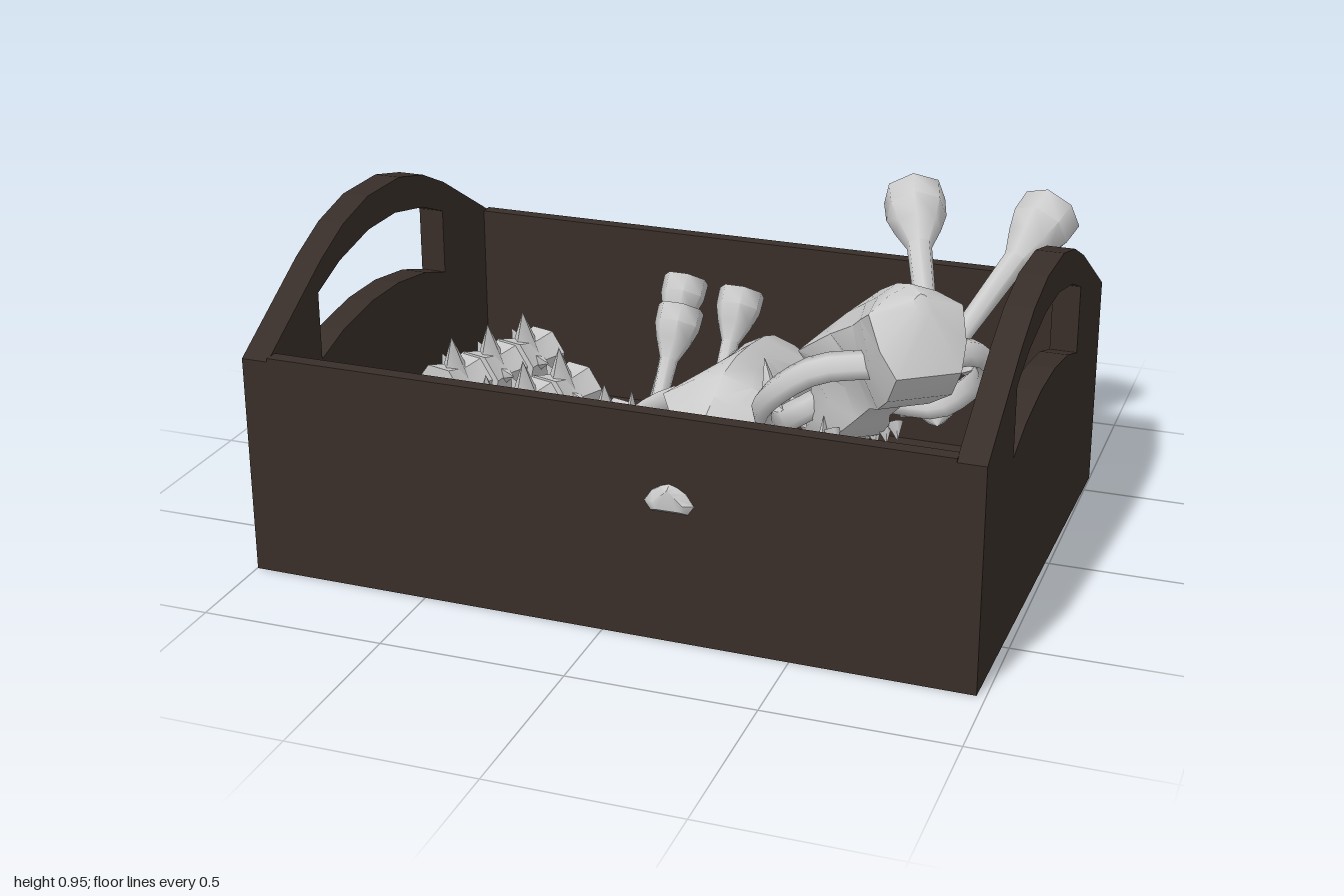
import * as THREE from 'three';
import { toCreasedNormals } from 'three/addons/utils/BufferGeometryUtils.js';

const V = (x, y, z) => new THREE.Vector3(x, y, z);
const bone = new THREE.MeshStandardMaterial({ color: 0xcccccc, side: THREE.DoubleSide });
const wood = new THREE.MeshStandardMaterial({ color: 0x382e29 });

function add(parent, name, geo, mat) {
  const mesh = new THREE.Mesh(geo, mat);
  mesh.name = name;
  parent.add(mesh);
  return mesh;
}

// Crate: floor, two long walls, two arched ends with hand holes
function makeCrate() {
  const crate = new THREE.Group();
  crate.name = 'crate';
  const box = (name, w, h, d, x, y, z) =>
    add(crate, name, new THREE.BoxGeometry(w, h, d), wood).position.set(x, y, z);
  box('floor', 1.96, 0.06, 1.34, 0, 0.03, 0);
  for (const s of [-1, 1]) box(s > 0 ? 'frontWall' : 'backWall', 1.83, 0.615, 0.04, 0, 0.3075, s * 0.655);

  const mirrored = half => [...half, ...half.slice().reverse().map(([x, y]) => [-x, y])];
  const outline = mirrored([[0.675, 0], [0.675, 0.605], [0.37, 0.785], [0.24, 0.845], [0.095, 0.88]]);
  const hole = [
    ...mirrored([[0.375, 0.7], [0.25, 0.75], [0.08, 0.785]]),
    ...mirrored([[0.375, 0.51], [0.25, 0.55], [0.08, 0.575]]).reverse(),
  ].map(([x, y]) => new THREE.Vector2(x - 0.02, y));
  const shape = new THREE.Shape(outline.map(p => new THREE.Vector2(...p)));
  shape.holes.push(new THREE.Path(hole));
  for (const s of [-1, 1]) {
    const geo = new THREE.ExtrudeGeometry(shape, { depth: 0.075, bevelEnabled: false });
    geo.translate(0, 0, -0.0375).rotateY(Math.PI / 2);
    add(crate, s > 0 ? 'leftEnd' : 'rightEnd', geo, wood).position.x = s * 0.9505;
  }
  crate.position.z = 0.07;
  crate.rotation.y = -0.016;
  return crate;
}

// Skull braincase and muzzle, lofted from the back of the head to the nose
// Each section: distance, upper half width, lower half width, top, bottom
const sections = [
  [0, 0.02, 0.02, 0.11, 0.06], [0.05, 0.12, 0.11, 0.15, -0.08], [0.14, 0.11, 0.11, 0.18, -0.11],
  [0.26, 0.09, 0.09, 0.2, -0.1], [0.38, 0.11, 0.06, 0.21, -0.07], [0.49, 0.165, 0.06, 0.2, -0.07],
  [0.56, 0.12, 0.085, 0.165, -0.08], [0.67, 0.09, 0.1, 0.12, -0.08], [0.8, 0.065, 0.08, 0.09, -0.06],
  [0.9, 0.045, 0.065, 0.065, -0.01], [0.915, 0.008, 0.04, 0.055, 0],
];
function skullGeometry() {
  const pos = [], idx = [], n = 9;
  for (const [t, wt, wl, top, bot] of sections) {
    const h = top - bot;
    const half = [[wt * 0.5, top - 0.1 * h], [wt, top - 0.28 * h], [wl, top - 0.68 * h], [wl * 0.75, bot]];
    const ring = [[0, top], ...half, ...half.slice().reverse().map(([x, y]) => [-x, y])];
    for (const [x, y] of ring) pos.push(x, y, t);
  }
  const last = (sections.length - 1) * n;
  for (let j = 0; j < last; j += n) {
    for (let i = 0; i < n; i++) {
      const a = j + i, b = j + (i + 1) % n;
      idx.push(a, a + n, b, b, a + n, b + n);
    }
  }
  for (let i = 1; i < n - 1; i++) idx.push(0, i, i + 1, last, last + i + 1, last + i);
  const geo = new THREE.BufferGeometry();
  geo.setAttribute('position', new THREE.Float32BufferAttribute(pos, 3));
  geo.setIndex(idx);
  return toCreasedNormals(geo, 0.7);
}

function makeSkull(name) {
  const skull = new THREE.Group();
  skull.name = name;
  add(skull, 'cranium', skullGeometry(), bone);
  for (const s of [-1, 1]) {
    // Cheek arch
    const path = new THREE.CatmullRomCurve3([
      V(s * 0.08, 0, 0.2), V(s * 0.2, 0.01, 0.25), V(s * 0.275, 0.0, 0.36), V(s * 0.285, -0.01, 0.5),
      V(s * 0.23, -0.02, 0.62), V(s * 0.15, 0.0, 0.67), V(s * 0.07, 0.02, 0.68)]);
    const arch = new THREE.TubeGeometry(path, 14, 0.025, 6, false);
    arch.scale(1, 1.5, 1);
    add(skull, 'cheekArch', arch, bone);
    // Spur behind the eye socket
    const spur = add(skull, 'eyeSpur', new THREE.ConeGeometry(0.025, 0.1, 4), bone);
    spur.position.set(s * 0.265, 0.06, 0.46);
    // Teeth
    for (let i = 0; i < 5; i++) {
      const len = i === 4 ? 0.11 : 0.05;
      const tooth = add(skull, 'tooth', new THREE.ConeGeometry(i === 4 ? 0.02 : 0.025, len, 5), bone);
      tooth.rotation.x = Math.PI;
      tooth.position.set(s * (0.085 - i * 0.007), -0.07 + i * 0.008 - len / 2, 0.58 + i * 0.065);
    }
  }
  return skull;
}

// Long bone running from a flared head to a small knuckle
function makeLongBone(name, from, to, r) {
  const len = from.distanceTo(to);
  const profile = [[0, 0], [r, 0.01], [r * 0.98, r * 0.9], [r * 0.75, r * 1.6], [r * 0.4, r * 2.4],
    [r * 0.33, len * 0.6], [r * 0.4, len - r], [r * 0.5, len - r * 0.5], [0, len]];
  const geo = new THREE.LatheGeometry(profile.map(p => new THREE.Vector2(...p)), 7);
  const mesh = new THREE.Mesh(toCreasedNormals(geo, 0.9), bone);
  mesh.name = name;
  mesh.position.copy(from);
  mesh.quaternion.setFromUnitVectors(V(0, 1, 0), to.clone().sub(from).normalize());
  return mesh;
}

// Vertebra: waisted body with side and top spines
function makeVertebra() {
  const vertebra = new THREE.Group();
  vertebra.name = 'vertebra';
  const body = new THREE.LatheGeometry([[0, -0.075], [0.085, -0.075], [0.07, 0], [0.09, 0.075], [0, 0.075]]
    .map(p => new THREE.Vector2(...p)), 7);
  body.rotateX(Math.PI / 2);
  add(vertebra, 'body', toCreasedNormals(body, 0.6), bone);
  const spines = [[-1, 0.5, -0.55, 0.13], [1, 0.25, 0.35, 0.12], [0.1, 1, 0.2, 0.16]];
  for (const [x, y, z, reach] of spines) {
    const dir = V(x, y, z).normalize();
    const spine = add(vertebra, 'spine', new THREE.ConeGeometry(0.055, 0.14, 4), bone);
    spine.position.copy(dir).multiplyScalar(reach - 0.06);
    spine.quaternion.setFromUnitVectors(V(0, 1, 0), dir);
  }
  return vertebra;
}

export function createModel() {
  const model = new THREE.Group();
  model.name = 'crateOfBones';
  model.add(makeCrate());

  // One skull lying flat, one leaning on the side
  const flat = makeSkull('flatSkull');
  flat.position.set(0.185, 0.37, -0.15);
  model.add(flat);
  const leaning = makeSkull('leaningSkull');
  const nose = V(-0.47, -0.59, -0.655).normalize();
  const side = V(0, 1, 0).cross(nose).normalize();
  const up = nose.clone().cross(side);
  leaning.quaternion.setFromRotationMatrix(new THREE.Matrix4().makeBasis(side, up, nose));
  leaning.position.set(0.8, 0.86, 0.645);
  model.add(leaning);

  // Long bones over the back wall, short ones standing in the crate
  model.add(makeLongBone('longBone', V(0.405, 0.755, -0.755), V(0.68, 0.36, 0.01), 0.092));
  model.add(makeLongBone('longBone', V(0.82, 0.755, -0.735), V(0.57, 0.36, -0.02), 0.092));
  for (const [x, z] of [[-0.205, -0.48], [-0.015, -0.43], [-0.135, -0.24]])
    model.add(makeLongBone('shortBone', V(x, 0.52, z), V(x - 0.02, 0.1, z + 0.3), 0.068));

  // Three rows of three vertebrae
  for (const [x, z] of [[-0.64, -0.28], [-0.43, -0.05], [-0.21, 0.16]]) {
    for (let i = 0; i < 3; i++) {
      const vertebra = makeVertebra();
      vertebra.position.set(x - i * 0.055, 0.27, z + i * 0.128);
      vertebra.rotation.y = -0.3;
      model.add(vertebra);
    }
  }
  return model;
}
